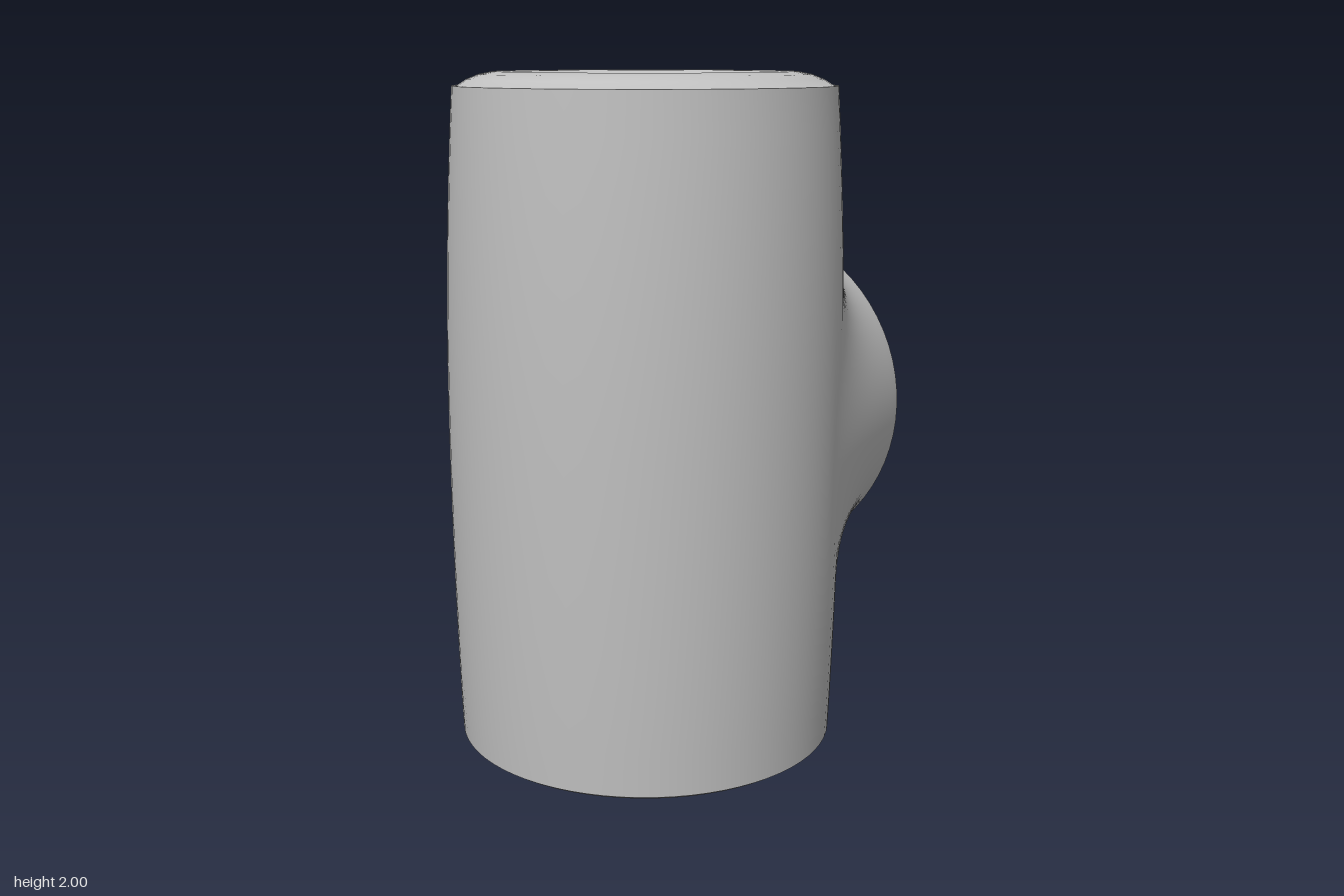
import * as THREE from 'three';
import { toCreasedNormals } from 'three/addons/utils/BufferGeometryUtils.js';

const SEG = 72;
const BODY_Z = 0.045;   // axis of the upright body
const PORT_Y = 0.935;   // axis height of the rear port
const PORT_R = 0.57;
const PORT_Z = -0.635;  // face of the rear port

// Slightly barrelled body radius at height y
function bodyRadius(y) {
  return y < 1 ? 0.59 - 0.02 * (1 - y) ** 2 : 0.59 - 0.033 * ((y - 1) / 0.96) ** 2;
}

function lathe(points) {
  const profile = points.map(([r, y]) => new THREE.Vector2(r, y));
  return toCreasedNormals(new THREE.LatheGeometry(profile, SEG), 0.5);
}

// Rounded blend from the port circle onto the body, one Bezier per angle
function blendGeometry() {
  const steps = 14, positions = [], index = [];
  const soften = (v) => Math.sign(v) * Math.abs(v) ** 0.88;
  for (let i = 0; i < SEG; i++) {
    const t = (i / SEG) * Math.PI * 2;
    const start = new THREE.Vector3(PORT_R * Math.cos(t), PORT_Y + PORT_R * Math.sin(t), PORT_Z);
    // landing point on the body
    const phi = 1.47 * soften(Math.cos(t));
    const y = PORT_Y + 0.73 * soften(Math.sin(t));
    const r = bodyRadius(y);
    const end = new THREE.Vector3(r * Math.sin(phi), y, BODY_Z - r * Math.cos(phi));
    // control point: the port wall meets the body's tangent plane
    const z = BODY_Z + (start.x * Math.sin(phi) - r) / Math.cos(phi);
    const control = new THREE.Vector3(start.x, start.y, Math.max(z, PORT_Z + 0.02));
    const curve = new THREE.QuadraticBezierCurve3(start, control, end);
    for (let j = 0; j <= steps; j++) positions.push(...curve.getPoint(j / steps).toArray());
    for (let j = 0; j < steps; j++) {
      const a = i * (steps + 1) + j;
      const b = ((i + 1) % SEG) * (steps + 1) + j;
      index.push(a, b, a + 1, b, b + 1, a + 1);
    }
  }
  const geometry = new THREE.BufferGeometry();
  geometry.setAttribute('position', new THREE.Float32BufferAttribute(positions, 3));
  geometry.setIndex(index);
  geometry.computeVertexNormals();
  return geometry;
}

export function createModel() {
  const group = new THREE.Group();
  const grey = new THREE.MeshStandardMaterial({ color: 0xc0c0c0 });
  grey.name = 'grey';

  const add = (name, geometry) => {
    const mesh = new THREE.Mesh(geometry, grey);
    mesh.name = name;
    group.add(mesh);
    return mesh;
  };

  // Upright barrel with flat base, raised lip and shallow dished top
  const profile = [[0, 0], [0.555, 0], [0.57, 0.01]];
  for (let k = 1; k <= 16; k++) {
    const y = 0.01 + (1.95 * k) / 16;
    profile.push([bodyRadius(y), y]);
  }
  profile.push([0.54, 1.962], [0.515, 1.978], [0.48, 1.992], [0.44, 2], [0.41, 1.998],
    [0.39, 1.988], [0.375, 1.965], [0.35, 1.95], [0, 1.95]);
  add('body', lathe(profile)).position.z = BODY_Z;

  // Side port flowing out of the back
  add('portBlend', blendGeometry());

  // Port face: flat ring around a recessed disc
  const face = add('portFace', lathe([[PORT_R, 0], [0.43, 0], [0.425, -0.08], [0, -0.08]]));
  face.rotation.x = -Math.PI / 2;
  face.position.set(0, PORT_Y, PORT_Z);

  return group;
}
